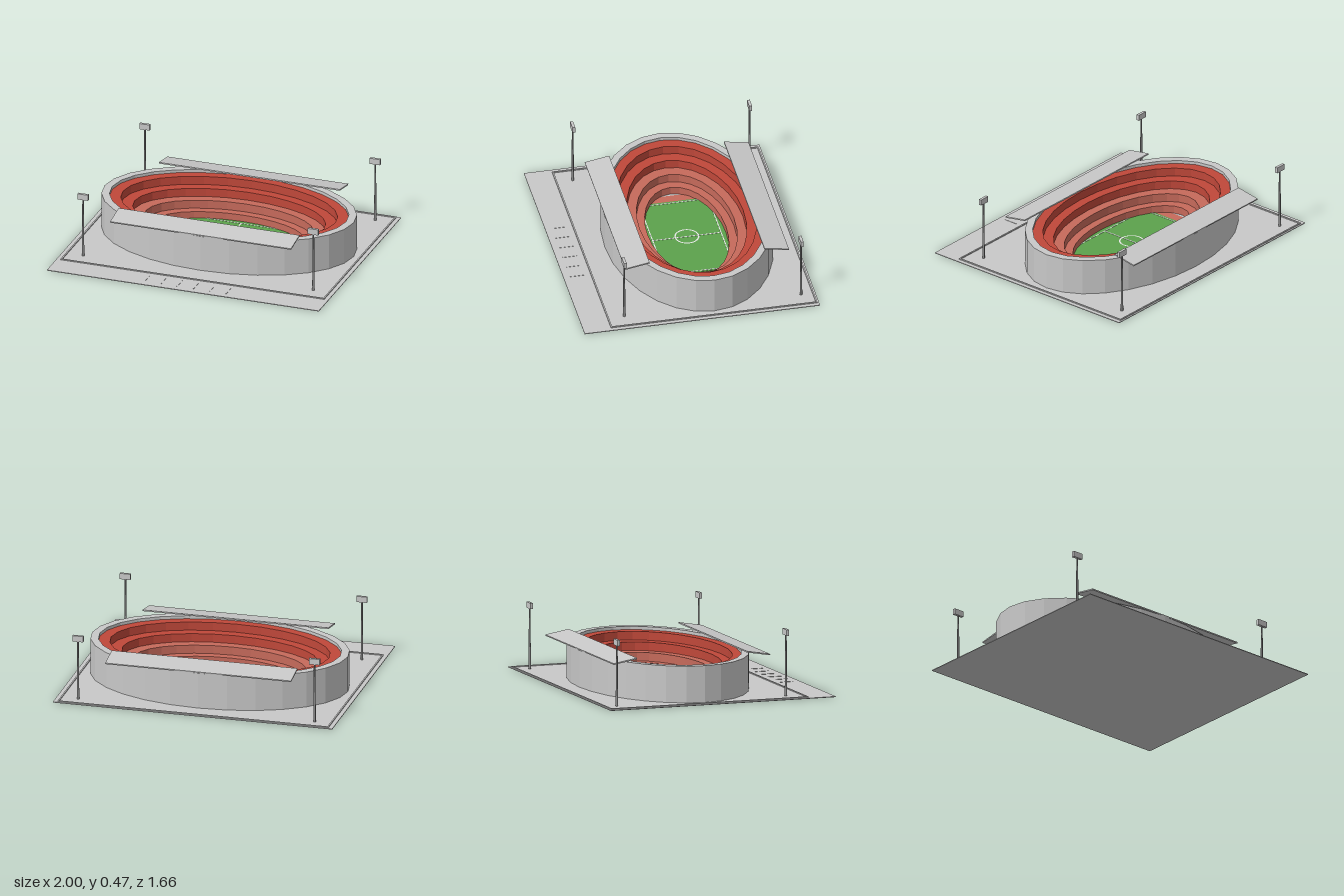
import * as THREE from 'three';

const mat = (name, color) => {
  const m = new THREE.MeshStandardMaterial({ color });
  m.name = name;
  return m;
};

export function createModel() {
  const concrete = mat('concrete', 0xc8c8c8);
  const steel = mat('steel', 0x8f8f8f);
  const upperRed = mat('upper seat red', 0xc0483a);
  const lowerRed = mat('lower seat red', 0xc66a5b);
  const green = mat('grass green', 0x5ca24c);
  const white = mat('line white', 0xf2f2f2);

  const model = new THREE.Group();
  model.name = 'stadium';
  const arena = new THREE.Group(); // everything centred on the pitch
  arena.name = 'arena';
  arena.position.z = -0.105;
  model.add(arena);

  const add = (parent, name, geometry, material, x = 0, y = 0, z = 0) => {
    const mesh = new THREE.Mesh(geometry, material);
    mesh.name = name;
    mesh.position.set(x, y, z);
    parent.add(mesh);
    return mesh;
  };
  // Box given by its bottom height
  const box = (parent, name, material, w, h, d, x, y, z) =>
    add(parent, name, new THREE.BoxGeometry(w, h, d), material, x, y + h / 2, z);

  const SIDES = 28;
  const ellipse = (rx, rz) => Array.from({ length: SIDES }, (_, i) => {
    const a = (i / SIDES) * Math.PI * 2;
    return new THREE.Vector2(rx * Math.cos(a), rz * Math.sin(a));
  });
  // Faceted oval ring standing upright between two heights
  const ovalRing = (name, material, outer, inner, y0, y1) => {
    const shape = new THREE.Shape(ellipse(...outer));
    shape.holes.push(new THREE.Path(ellipse(...inner)));
    const g = new THREE.ExtrudeGeometry(shape, { depth: y1 - y0, bevelEnabled: false });
    g.rotateX(-Math.PI / 2);
    add(arena, name, g, material, 0, y0, 0);
  };

  // Ground and low kerb around the grounds
  box(model, 'ground', concrete, 2, 0.005, 1.664, 0, 0, 0);
  for (const s of [-1, 1]) {
    box(model, 'kerbSide', concrete, 0.01, 0.007, 1.46, s * 0.965, 0.005, -0.09);
    box(model, 'kerbEnd', concrete, 1.92, 0.007, 0.01, 0, 0.005, -0.09 + s * 0.725);
  }
  // Parking bay markers in front
  for (let i = 0; i < 6; i++) {
    box(model, 'parkingMarker', concrete, 0.005, 0.002, 0.1, -0.3 + i * 0.12, 0.005, 0.735);
  }

  // Outer wall
  ovalRing('outerWall', concrete, [0.916, 0.58], [0.86, 0.527], 0.003, 0.262);

  // Stepped seating, from the highest tier inward
  const edges = [[0.86, 0.527], [0.78, 0.464], [0.695, 0.397], [0.61, 0.332], [0.54, 0.275]];
  for (let i = 0; i < 4; i++) {
    ovalRing('seatingTier' + (i + 1), i < 2 ? upperRed : lowerRed,
      edges[i], edges[i + 1], 0.003, 0.24 - i * 0.06);
  }

  // Track surface, pitch and its lines
  box(arena, 'trackSurface', lowerRed, 1.03, 0.004, 0.58, 0, 0.004, 0);
  box(arena, 'pitch', green, 0.88, 0.004, 0.56, 0, 0.007, 0);
  for (const s of [-1, 1]) {
    box(arena, 'touchLine', white, 0.85, 0.002, 0.007, 0, 0.0105, s * 0.242);
    box(arena, 'goalLine', white, 0.007, 0.002, 0.484, s * 0.422, 0.0105, 0);
  }
  box(arena, 'halfwayLine', white, 0.008, 0.002, 0.484, 0, 0.0105, 0);
  const circle = new THREE.RingGeometry(0.077, 0.087, 32);
  circle.rotateX(-Math.PI / 2);
  add(arena, 'centreCircle', circle, white, 0, 0.013, 0);

  // Sloping roofs over the two long stands
  for (const s of [-1, 1]) {
    const roof = add(arena, s > 0 ? 'frontRoof' : 'backRoof',
      new THREE.BoxGeometry(1.33, 0.009, 0.175), concrete, 0, 0.282, s * 0.492);
    roof.rotation.x = s * 0.17;
  }

  // Floodlights at the four corners
  for (const x of [-0.847, 0.847]) {
    for (const z of [-0.73, 0.52]) {
      const light = new THREE.Group();
      light.name = 'floodlight';
      light.position.set(x, 0, z);
      add(light, 'pole', new THREE.CylinderGeometry(0.006, 0.009, 0.43, 8), steel, 0, 0.22, 0);
      box(light, 'lampHead', concrete, 0.076, 0.042, 0.02, 0, 0.43, 0);
      model.add(light);
    }
  }
  return model;
}
